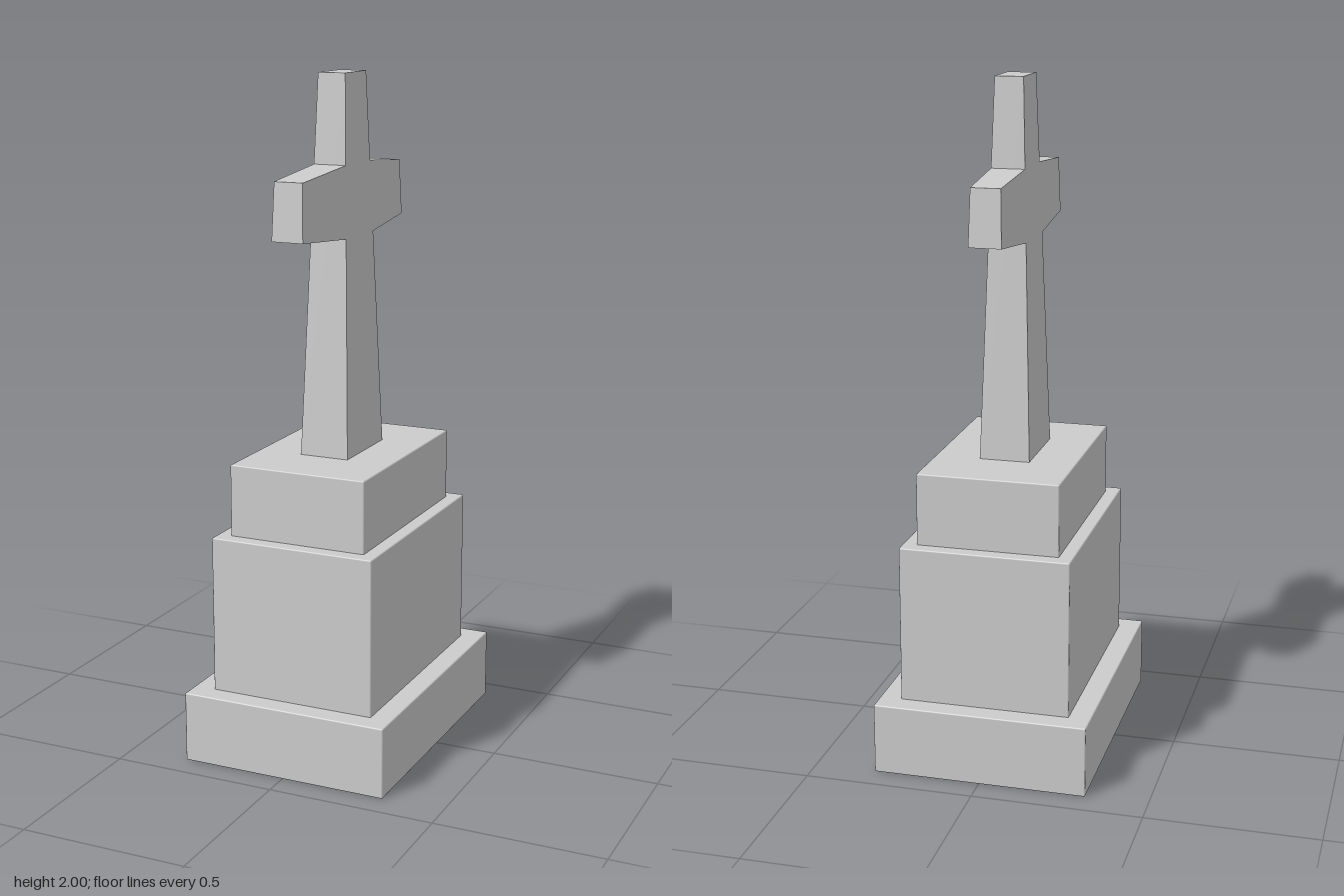
import * as THREE from 'three';
import { RoundedBoxGeometry } from 'three/addons/geometries/RoundedBoxGeometry.js';

const stone = new THREE.MeshStandardMaterial({ color: 0xcccccc });

function add(group, name, geometry) {
  const mesh = new THREE.Mesh(geometry, stone);
  mesh.name = name;
  group.add(mesh);
  return mesh;
}

// Unit box whose corners are moved by a rule taking the corner signs
function shapedBox(rule) {
  const geo = new THREE.BoxGeometry(2, 2, 2).toNonIndexed();
  const p = geo.attributes.position;
  for (let i = 0; i < p.count; i++) {
    p.setXYZ(i, ...rule(p.getX(i), p.getY(i), p.getZ(i)));
  }
  geo.computeVertexNormals();
  return geo;
}

const SHAFT_BOTTOM = 0.892, SHAFT_TOP = 2;

// Half thickness and half breadth of the tapering shaft at a height
const taper = (y, a, b) => THREE.MathUtils.mapLinear(y, SHAFT_BOTTOM, SHAFT_TOP, a, b);
const halfX = (y) => taper(y, 0.075, 0.042);
const halfZ = (y) => taper(y, 0.128, 0.072);

export function createModel() {
  const model = new THREE.Group();
  model.name = 'memorialCross';

  // Stepped plinth: name, width, depth, bottom, top
  const steps = [
    ['baseSlab', 0.634, 0.846, 0, 0.212],
    ['plinthBlock', 0.505, 0.72, 0.205, 0.681],
    ['upperBlock', 0.422, 0.636, 0.675, 0.895],
  ];
  for (const [name, w, d, y0, y1] of steps) {
    const block = add(model, name, new RoundedBoxGeometry(w, y1 - y0, d, 1, 0.004));
    block.position.y = (y0 + y1) / 2;
  }

  // Cross: tapering shaft with two arms narrowing to their tips
  const cross = new THREE.Group();
  cross.name = 'cross';
  cross.position.z = 0.002;
  model.add(cross);

  add(cross, 'shaft', shapedBox((sx, sy, sz) => {
    const y = sy > 0 ? SHAFT_TOP : SHAFT_BOTTOM;
    return [sx * halfX(y), y, sz * halfZ(y)];
  }));

  const arm = (name, side, reach) => add(cross, name, shapedBox((sx, sy, sz) => {
    const tip = sz === side;
    const y = tip ? (sy > 0 ? 1.722 : 1.558) : (sy > 0 ? 1.743 : 1.535);
    const z = tip ? reach - sy * 0.005 : halfZ(y);
    return [sx * halfX(y) * (tip ? 0.86 : 1), y, side * z];
  }));
  arm('frontArm', 1, 0.356);
  arm('backArm', -1, 0.326);

  return model;
}
